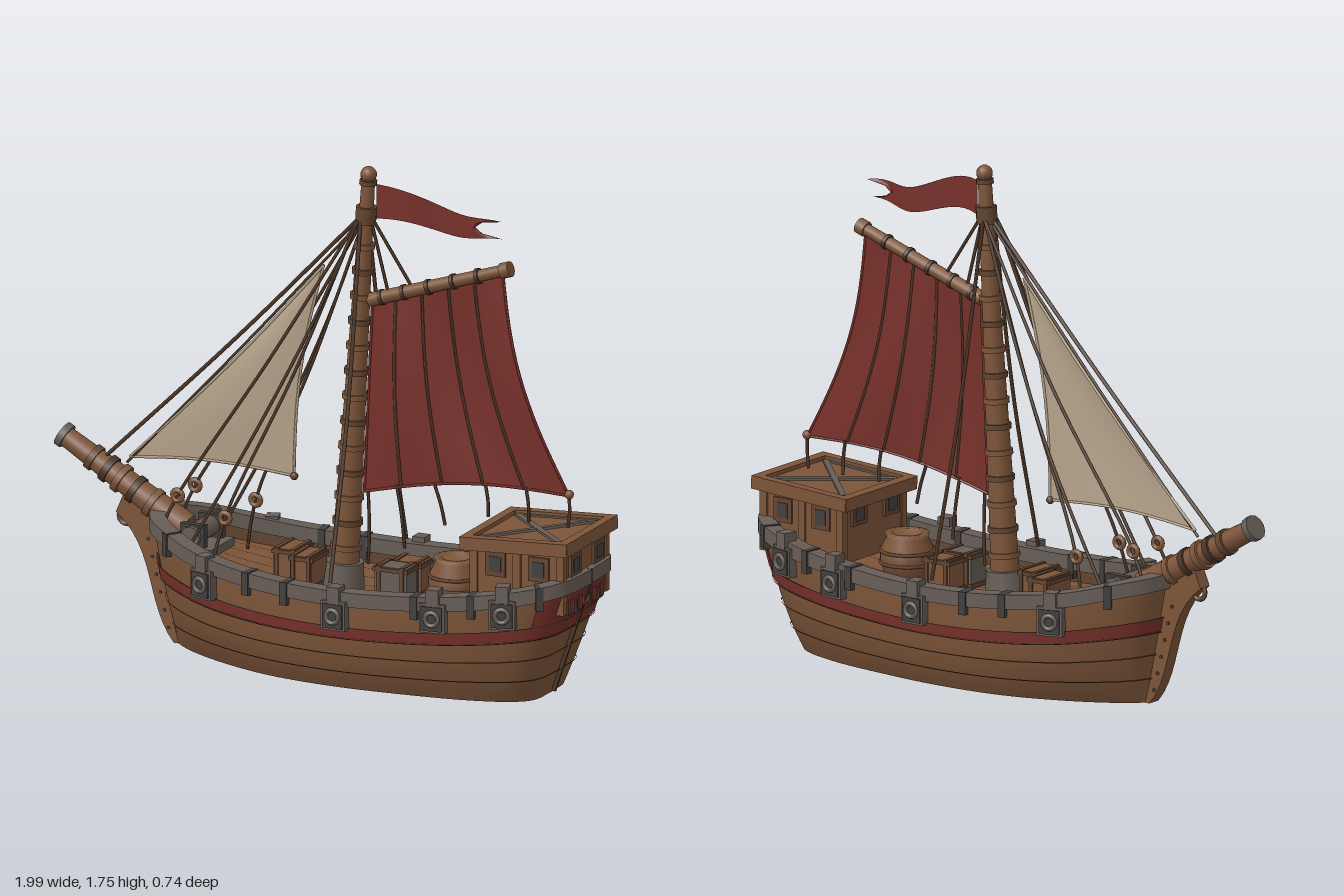
import * as THREE from 'three';

const V = (x, y, z = 0) => new THREE.Vector3(x, y, z);
const mat = (name, color) => {
  const m = new THREE.MeshStandardMaterial({ color, side: THREE.DoubleSide });
  m.name = name;
  return m;
};

export function createModel() {
  const wood = mat('wood', 0x7d5539), darkWood = mat('dark wood', 0x624430), red = mat('red', 0x77302a);
  const cream = mat('cream canvas', 0xb5a289), grey = mat('weathered grey', 0x675d56);
  const iron = mat('iron', 0x42403e), ropeMat = mat('rope', 0x4a3425);
  const model = new THREE.Group();

  const add = (name, geo, m, parent = model) => {
    const mesh = new THREE.Mesh(geo, m);
    mesh.name = name;
    parent.add(mesh);
    return mesh;
  };
  const box = (name, m, w, h, d, x, y, z, parent) => {
    const b = add(name, new THREE.BoxGeometry(w, h, d), m, parent);
    b.position.set(x, y, z);
    return b;
  };
  // round bar from a to b
  const bar = (name, m, a, b, r0, r1 = r0, sides = 12) => {
    const c = add(name, new THREE.CylinderGeometry(r1, r0, a.distanceTo(b), sides), m);
    c.position.copy(a).lerp(b, 0.5);
    c.quaternion.setFromUnitVectors(V(0, 1), b.clone().sub(a).normalize());
  };
  const rope = (name, pts, r = 0.006, m = ropeMat) =>
    add(name, new THREE.TubeGeometry(new THREE.CatmullRomCurve3(pts), 16, r, 5), m);
  // surface from a rule f(u, v)
  const grid = (nu, nv, f, flip = false, flat = false) => {
    const pos = [], idx = [];
    for (let i = 0; i <= nu; i++) for (let j = 0; j <= nv; j++) pos.push(...f(i / nu, j / nv).toArray());
    for (let i = 0; i < nu; i++) for (let j = 0; j < nv; j++) {
      const a = i * (nv + 1) + j, b = a + nv + 1;
      if (flip) idx.push(a, b + 1, b, a, a + 1, b + 1);
      else idx.push(a, b, b + 1, a, b + 1, a + 1);
    }
    let g = new THREE.BufferGeometry();
    g.setAttribute('position', new THREE.Float32BufferAttribute(pos, 3));
    g.setIndex(idx);
    if (flat) g = g.toNonIndexed();
    g.computeVertexNormals();
    return g;
  };

  // Hull stations, bow to stern: top x, bottom x, top half width, bottom half width, sheer
  const stations = [
    [-0.63, -0.55, 0.015, 0.01, 0.43], [-0.585, -0.51, 0.11, 0.05, 0.42], [-0.5, -0.44, 0.18, 0.1, 0.4],
    [-0.35, -0.3, 0.25, 0.17, 0.365], [-0.1, -0.1, 0.305, 0.235, 0.335], [0.2, 0.15, 0.325, 0.26, 0.325],
    [0.5, 0.42, 0.31, 0.245, 0.34], [0.75, 0.63, 0.275, 0.215, 0.37], [0.9, 0.775, 0.225, 0.165, 0.4],
    [0.96, 0.825, 0.165, 0.115, 0.415], [0.972, 0.835, 0, 0, 0.415]];
  const top = new THREE.CatmullRomCurve3(stations.map(s => V(s[0], s[4], s[2])));
  const low = new THREE.CatmullRomCurve3(stations.map(s => V(s[1], 0, s[3])));
  const hull = (t, v, side = 1, off = 0) => {
    const a = low.getPoint(t), b = top.getPoint(t), g = top.getTangent(t);
    const n = Math.hypot(g.x, g.z) || 1, f = 1 - (1 - v) ** 3;
    const z = a.z + (b.z - a.z) * f + (off * g.x) / n;
    return V(a.x + (b.x - a.x) * v - (off * g.z) / n, v * b.y, side * Math.max(0, z));
  };
  // station parameter at a given rail x
  const tAt = x => {
    let lo = 0, hi = 1;
    for (let i = 0; i < 30; i++) { const m = (lo + hi) / 2; if (top.getPoint(m).x < x) lo = m; else hi = m; }
    return lo;
  };
  // turn a part to face out from the hull
  const faceOut = (part, t, s) => {
    const g = top.getTangent(t);
    part.rotation.y = -s * Math.atan2(g.z, g.x);
  };
  const lerp = THREE.MathUtils.lerp;
  const strake = (name, m, s, t0, t1, v0, v1, off, nv = 2) =>
    add(name, grid(110, nv, (u, v) => hull(lerp(t0, t1, u), lerp(v0, v1, v), s, off), s < 0), m);
  const railSection = [[0.014, -0.018], [0.014, 0.032], [-0.042, 0.032], [-0.042, -0.018], [0.014, -0.018]];

  for (const s of [1, -1]) {
    strake('hullSide', wood, s, 0, 1, 0, 1, 0, 14);
    strake('stripe', red, s, 0, 1, 0.6, 0.71, 0.009);
    strake('sternPanel', red, s, 0.8, 1, 0.7, 0.97, 0.011, 6);
    for (const v of [0.2, 0.4]) strake('plankSeam', darkWood, s, 0, 1, v, v + 0.012, 0.006, 1);
    for (const v of [0.59, 0.71]) strake('stripeEdge', ropeMat, s, 0, 1, v, v + 0.01, 0.012, 1);
    add('bulwarkInside', grid(60, 1, (u, v) => hull(u, lerp(0.78, 1, v), s, -0.025), s > 0), darkWood);
    add('rail', grid(80, 4, (u, v) => {
      const [o, y] = railSection[Math.round(v * 4)];
      return hull(u, 1, s, o).add(V(0, y));
    }, s < 0, true), grey);
    // Rail clamps and side fittings
    for (const x of [-0.5, -0.15, 0, 0.48, 0.68, 0.9]) {
      const t = tAt(x), p = hull(t, 0.97, s, -0.012);
      faceOut(box('railClamp', iron, 0.026, 0.08, 0.064, p.x, p.y + 0.004, p.z), t, s);
    }
    for (const [x, y] of [[-0.33, 0.3], [0.2, 0.275], [0.56, 0.305], [0.8, 0.335]]) {
      const t = tAt(x), p = hull(t, 0.85, s, 0.012);
      const f = new THREE.Group();
      f.name = 'sideFitting';
      f.position.set(p.x, y, p.z);
      faceOut(f, t, s);
      model.add(f);
      box('fittingPlate', grey, 0.09, 0.1, 0.035, 0, 0, 0, f);
      box('fittingFace', iron, 0.074, 0.084, 0.008, 0, 0, s * 0.02, f);
      const ring = add('fittingRing', new THREE.TorusGeometry(0.023, 0.008, 6, 16), grey, f);
      ring.position.z = s * 0.024;
      box('fittingHanger', grey, 0.045, 0.06, 0.05, 0, 0.07, -s * 0.005, f);
    }
    // Transom windows
    for (const t of [0.935, 0.97]) {
      const p = hull(t, 0.83, s, 0.012), q = hull(t, 0.83, s, 0.016);
      faceOut(box('sternWindowFrame', iron, 0.042, 0.062, 0.009, p.x, p.y, p.z), t, s);
      faceOut(box('sternWindowPanel', red, 0.03, 0.048, 0.009, q.x, q.y, q.z), t, s);
    }
  }
  add('hullBottom', grid(80, 2, (u, v) => { const p = hull(u, 0); p.z *= v * 2 - 1; return p; }), wood);
  const deckAt = (u, k, up = 0) => {
    const p = hull(u, 1, 1, -0.02);
    return V(p.x, p.y - 0.06 + up, p.z * k);
  };
  add('deck', grid(60, 4, (u, v) => deckAt(u, 1 - 2 * v)), wood);
  for (let k = -0.75; k < 0.8; k += 0.3)
    add('deckSeam', grid(40, 1, (u, v) => deckAt(lerp(0.15, 0.9, u), k + 0.005 - 0.01 * v, 0.003)), darkWood);
  box('sternPost', ropeMat, 0.022, 0.42, 0.01, 0.906, 0.205, 0).rotation.z = -0.325;

  // Stem
  const stem = new THREE.Shape();
  stem.moveTo(-0.5, 0);
  stem.lineTo(-0.555, 0);
  stem.bezierCurveTo(-0.66, 0.12, -0.62, 0.32, -0.77, 0.43);
  stem.lineTo(-0.74, 0.5);
  stem.lineTo(-0.56, 0.44);
  stem.closePath();
  add('stem', new THREE.ExtrudeGeometry(stem, { depth: 0.05, bevelEnabled: false }), wood).position.z = -0.025;
  for (let i = 0; i < 6; i++) {
    const x = -0.575 - i * 0.015, y = 0.05 + i * 0.06;
    bar('stemBolt', iron, V(x, y, -0.029), V(x, y, 0.029), 0.006);
  }
  add('stemRing', new THREE.TorusGeometry(0.025, 0.009, 6, 14), darkWood).position.set(-0.745, 0.41, 0);

  // Bowsprit
  const bs0 = V(-0.52, 0.4), bs1 = V(-0.98, 0.67);
  const on = (a, b, k) => a.clone().lerp(b, k);
  bar('bowsprit', wood, bs0, bs1, 0.05, 0.034);
  for (const [k, r, m] of [[0.24, 0.052, wood], [0.38, 0.05, ropeMat], [0.5, 0.052, wood], [0.6, 0.049, ropeMat],
    [0.72, 0.046, darkWood], [0.96, 0.044, grey]])
    bar('bowspritBand', m, on(bs0, bs1, k), on(bs0, bs1, k + 0.045), r);

  // Mast
  const m0 = V(0.063, 0.26), m1 = V(0.155, 1.7);
  bar('mast', wood, m0, m1, 0.05, 0.023, 14);
  bar('mastCollar', grey, m0, on(m0, m1, 0.07), 0.072, 0.064, 14);
  for (let i = 0; i < 14; i++) {
    const k = 0.1 + i * 0.061, r = 0.056 - 0.024 * k;
    bar('mastHoop', i % 2 ? darkWood : wood, on(m0, m1, k), on(m0, m1, k + 0.013), r, r, 14);
  }
  bar('mastHead', darkWood, V(0.146, 1.56), V(0.149, 1.605), 0.036);
  bar('mastCap', darkWood, V(0.154, 1.682), V(0.155, 1.698), 0.03);
  add('mastBall', new THREE.SphereGeometry(0.028, 14, 10), wood).position.set(0.156, 1.717, 0);

  // Gaff and mainsail
  const g0 = V(0.16, 1.28), g1 = V(0.67, 1.45);
  bar('gaff', wood, g0, g1, 0.024, 0.02);
  bar('gaffEnd', wood, V(0.65, 1.443), V(0.683, 1.454), 0.027);
  const sail = (u, v) => {
    const a = V(0.17, 1.27).lerp(V(0.655, 1.43), u), b = V(0.14, 0.61).lerp(V(0.9, 0.69), u);
    const p = a.lerp(b, v), bow = Math.sin(Math.PI * v);
    p.x -= 0.045 * bow * u;
    p.y += 0.035 * v * Math.sin(Math.PI * u);
    p.z = 0.014 * bow * Math.sin(u * Math.PI * 2.5);
    return p;
  };
  add('mainsail', grid(24, 16, (u, v) => sail(u, v), true), red);
  const line = f => Array.from({ length: 9 }, (_, i) => f(i / 8));
  for (const u of [0.18, 0.38, 0.58, 0.78]) rope('sailSeam', line(v => sail(u, v)), 0.0055);
  for (const u of [0, 1]) rope('sailEdge', line(v => sail(u, v)), 0.005, red);
  rope('sailFoot', line(u => sail(u, 1)), 0.005, red);
  for (const u of [0.02, 0.2, 0.4, 0.6, 0.8])
    bar('gaffLashing', ropeMat, on(g0, g1, 0.06 + u * 0.9), on(g0, g1, 0.085 + u * 0.9), 0.027);
  for (const [x, y, x2, y2] of [[0.155, 0.61, 0.155, 0.36], [0.26, 0.65, 0.29, 0.43], [0.4, 0.67, 0.44, 0.53],
    [0.59, 0.69, 0.6, 0.58], [0.74, 0.7, 0.75, 0.58], [0.9, 0.69, 0.895, 0.58]])
    rope('sailSheet', [V(x, y), V((x + x2) / 2 + 0.006, (y + y2) / 2, 0.004), V(x2, y2)], 0.006);
  add('sailBlock', new THREE.SphereGeometry(0.016, 10, 8), wood).position.set(0.9, 0.695, 0);

  // Jib
  const jib = (u, v) => {
    const luff = V(-0.01, 1.38).lerp(V(-0.73, 0.62), v), leech = V(-0.01, 1.38).lerp(V(-0.12, 0.63), v);
    const bow = Math.sin(Math.PI * v);
    luff.x += 0.02 * bow;
    leech.x -= 0.03 * bow;
    const p = luff.lerp(leech, u);
    p.y += 0.02 * v * Math.sin(Math.PI * u);
    p.z = 0.012 * bow * Math.sin(Math.PI * u);
    return p;
  };
  add('jib', grid(14, 18, jib), cream);
  for (const f of [v => jib(0, v), v => jib(1, v), u => jib(u, 1)]) rope('jibEdge', line(f), 0.005, cream);
  add('jibBlock', new THREE.SphereGeometry(0.014, 10, 8), darkWood).position.set(-0.12, 0.63, 0);

  // Pennant with a forked tail
  const flag = (u, v) => {
    const half = lerp(0.06, 0.03, u), fork = Math.max(0, (u - 0.78) / 0.22);
    const w = v * 2 - 1, spread = fork ? Math.sign(w) * lerp(Math.abs(w), 0.5 + 0.5 * Math.abs(w), fork) : w;
    const x = 0.185 + 0.47 * u - 0.1 * fork * (1 - Math.abs(w));
    return V(x, 1.627 - 0.055 * u + 0.014 * Math.sin(u * 8) + half * spread, 0.018 * Math.sin(u * 9));
  };
  add('pennant', grid(28, 8, flag), red);

  // Standing rigging
  rope('forestay', [V(0.14, 1.58), V(-0.33, 1.09), V(-0.82, 0.61)], 0.007);
  rope('innerStay', [V(0.13, 1.55), V(-0.31, 1.06), V(-0.74, 0.6)], 0.005);
  for (const [x, y] of [[0.23, 1.31], [0.32, 1.34]]) rope('gaffHalyard', [V(0.16, 1.58), V(x, y)], 0.006);
  for (const s of [1, -1]) {
    rope('shroud', [V(0.14, 1.56, s * 0.03), V(0.15, 0.9, s * 0.155), V(0.155, 0.37, s * 0.295)], 0.007);
    // foot x, y, z, then bend x, y and whether it carries a deadeye
    for (const [x, y, z, bx, by, eye] of [[-0.58, 0.4, 0.08, -0.52, 0.53, 1], [-0.45, 0.37, 0.13, -0.2, 0.82, 0],
      [-0.36, 0.31, 0.14, -0.32, 0.49, 1]]) {
      rope('foreShroud', [V(0.13, 1.56, s * 0.03), V((0.13 + bx) / 2 + 0.015, (1.56 + by) / 2, s * 0.07),
        V(bx, by, s * z * 0.85), V(x, y, s * z)], 0.006);
      if (eye) add('deadeye', new THREE.TorusGeometry(0.018, 0.01, 6, 14), wood).position.set(bx, by, s * z * 0.85);
    }
  }

  // Deckhouse
  box('houseBody', wood, 0.34, 0.22, 0.34, 0.79, 0.435, 0);
  const roof = new THREE.Group();
  roof.name = 'houseRoof';
  roof.position.set(0.787, 0.545, 0);
  roof.rotation.z = 0.055;
  model.add(roof);
  box('roofPanel', wood, 0.38, 0.025, 0.38, 0, 0, 0, roof);
  for (const s of [1, -1]) {
    box('roofRimSide', wood, 0.395, 0.045, 0.035, 0, 0.004, s * 0.182, roof);
    box('roofRimEnd', wood, 0.035, 0.045, 0.395, s * 0.182, 0.004, 0, roof);
    box('roofBrace', grey, 0.42, 0.014, 0.02, 0, 0.014, 0, roof).rotation.y = s * 0.78;
    box('roofTrim', grey, 0.3, 0.012, 0.014, 0, 0.012, s * 0.155, roof);
    for (const x of [0.63, 0.79, 0.95]) box('housePost', wood, 0.028, 0.22, 0.028, x, 0.435, s * 0.165);
    for (const x of [0.71, 0.87]) {
      box('windowFrame', darkWood, 0.075, 0.085, 0.01, x, 0.475, s * 0.172);
      box('windowPane', iron, 0.042, 0.052, 0.009, x, 0.475, s * 0.176);
    }
    for (const x of [0.616, 0.964]) {
      box('endWindowFrame', darkWood, 0.012, 0.075, 0.08, x, 0.485, s * 0.09);
      box('endWindowPane', iron, 0.018, 0.045, 0.045, x, 0.485, s * 0.09);
    }
  }

  // Deck cargo
  const crate = (x, z, w, h, d, m) => {
    const y = 0.265 + h / 2;
    box('crate', m, w, h, d, x, y, z);
    for (const s of [1, -1]) {
      box('crateBatten', darkWood, 0.014, h + 0.008, d + 0.012, x + s * w * 0.36, y, z);
      box('crateEdge', darkWood, w + 0.01, 0.014, d + 0.01, x, y + s * (h / 2 - 0.01), z);
    }
  };
  crate(-0.14, -0.03, 0.085, 0.115, 0.12, wood);
  crate(-0.055, 0.025, 0.08, 0.115, 0.12, wood);
  crate(0.28, 0.05, 0.12, 0.12, 0.08, grey);
  crate(0.29, -0.05, 0.11, 0.115, 0.08, wood);
  const profile = [[0, 0], [0.07, 0], [0.092, 0.06], [0.092, 0.1], [0.07, 0.145], [0.076, 0.16], [0.05, 0.16], [0.045, 0.14], [0, 0.14]];
  add('pot', new THREE.LatheGeometry(profile.map(p => new THREE.Vector2(...p)), 18), wood).position.set(0.48, 0.265, 0);
  for (const y of [0.325, 0.365]) {
    const hoop = add('potHoop', new THREE.TorusGeometry(0.092, 0.006, 6, 20), darkWood);
    hoop.rotation.x = Math.PI / 2;
    hoop.position.set(0.48, y, 0);
  }
  // Windlass at the bow
  bar('windlass', grey, V(-0.46, 0.4, -0.1), V(-0.46, 0.4, 0.1), 0.035);
  for (const s of [1, -1]) box('windlassCheek', iron, 0.09, 0.11, 0.025, -0.46, 0.385, s * 0.07);
  box('windlassBase', grey, 0.15, 0.03, 0.18, -0.46, 0.345, 0);

  return model;
}
